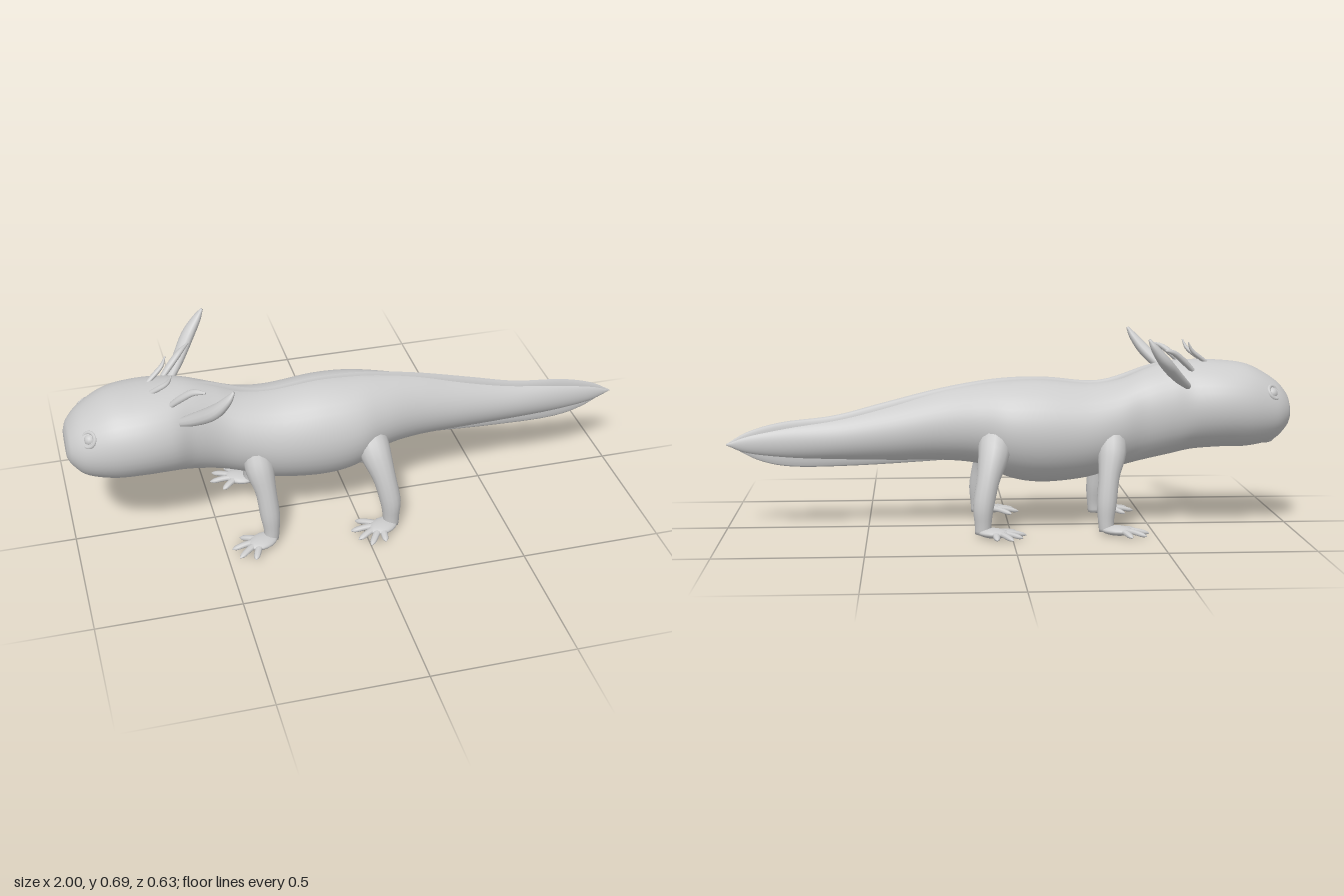
import * as THREE from 'three';

const material = new THREE.MeshStandardMaterial({ color: 0xcccccc, roughness: 0.8, side: THREE.DoubleSide });
const V = (a) => new THREE.Vector3(...a);

function add(parent, name, geometry) {
  const mesh = new THREE.Mesh(geometry, material);
  mesh.name = name;
  parent.add(mesh);
  return mesh;
}

// Skin a grid of rings, each closed on itself, with capped ends
function skin(rings) {
  const n = rings[0].length, pos = [], idx = [];
  rings.forEach((r) => r.forEach((p) => pos.push(p.x, p.y, p.z)));
  for (let i = 0; i < rings.length - 1; i++) {
    for (let j = 0; j < n; j++) {
      const a = i * n + j, b = i * n + (j + 1) % n;
      idx.push(a, b, a + n, b, b + n, a + n);
    }
  }
  [0, rings.length - 1].forEach((i) => {
    const c = rings[i].reduce((s, p) => s.add(p), new THREE.Vector3()).divideScalar(n);
    const k = pos.length / 3;
    pos.push(c.x, c.y, c.z);
    for (let j = 0; j < n; j++) {
      const a = i * n + j, b = i * n + (j + 1) % n;
      if (i === 0) idx.push(k, b, a); else idx.push(k, a, b);
    }
  });
  const g = new THREE.BufferGeometry();
  g.setAttribute('position', new THREE.Float32BufferAttribute(pos, 3));
  g.setIndex(idx);
  g.computeVertexNormals();
  return g;
}

// Loft along x through stations [x, top, bottom, halfWidth, pinch]
function loft(stations, steps, sides) {
  const heights = new THREE.CatmullRomCurve3(stations.map((s) => V([s[0], s[1], s[2]])), false, 'catmullrom');
  const widths = new THREE.CatmullRomCurve3(stations.map((s) => V([s[0], s[3], s[4]])), false, 'catmullrom');
  const rings = [];
  for (let i = 0; i <= steps; i++) {
    const h = heights.getPoint(i / steps), w = widths.getPoint(i / steps), ring = [];
    for (let j = 0; j < sides; j++) {
      const a = (j / sides) * Math.PI * 2, s = Math.sin(a);
      ring.push(V([h.x, (h.y + h.z) / 2 + Math.cos(a) * (h.y - h.z) / 2,
        Math.sign(s) * Math.abs(s) ** w.z * Math.max(w.y, 0.001)]));
    }
    rings.push(ring);
  }
  return skin(rings);
}

// Tapered limb through points [x, y, z, radius]; flat squashes it vertically
function limb(points, steps = 16, sides = 14, flat = 1) {
  const path = new THREE.CatmullRomCurve3(points.map((p) => V(p.slice(0, 3))), false, 'catmullrom');
  const radii = new THREE.CatmullRomCurve3(points.map((p) => V([p[3], 0, 0])), false, 'catmullrom');
  const rings = [];
  for (let i = 0; i <= steps; i++) {
    const t = i / steps, c = path.getPoint(t), d = path.getTangent(t);
    const r = Math.max(radii.getPoint(t).x, 0.001);
    const ref = Math.abs(d.y) > 0.8 ? V([1, 0, 0]) : V([0, 1, 0]);
    // keep one reference per limb so that rings do not twist
    const up = points.ref ? V(points.ref) : ref;
    const u = new THREE.Vector3().crossVectors(up, d).normalize();
    const v = new THREE.Vector3().crossVectors(d, u);
    const ring = [];
    for (let j = 0; j < sides; j++) {
      const a = (j / sides) * Math.PI * 2;
      ring.push(c.clone().addScaledVector(u, Math.cos(a) * r).addScaledVector(v, Math.sin(a) * r * flat));
    }
    rings.push(ring);
  }
  return skin(rings);
}

const withRef = (points, ref) => Object.assign(points, { ref });

function addLeg(parent, name, side, path, toes) {
  const leg = new THREE.Group();
  leg.name = name;
  const m = (p) => [p[0], p[1], p[2] * side, p[3]];
  add(leg, 'limb', limb(withRef(path.map(m), [1, 0, 0])));
  const [ax, , az] = path[path.length - 1];
  const palm = add(leg, 'palm', new THREE.SphereGeometry(1, 18, 12));
  palm.scale.set(0.058, 0.017, 0.042);
  palm.position.set(ax - 0.035, 0.018, (az + 0.018) * side);
  palm.rotation.y = 0.5 * side;
  toes.forEach(([tx, tz]) => {
    const sx = ax - 0.04, sz = az + 0.015;
    add(leg, 'toe', limb(withRef([
      [sx, 0.02, sz * side, 0.015],
      [sx + (tx - sx) * 0.5, 0.018, (sz + (tz - sz) * 0.5) * side, 0.013],
      [sx + (tx - sx) * 0.85, 0.011, (sz + (tz - sz) * 0.85) * side, 0.011],
      [tx, 0.008, tz * side, 0.002],
    ], [0, 1, 0]), 10, 8, 0.7));
  });
  parent.add(leg);
}

export function createModel() {
  const model = new THREE.Group();
  model.name = 'salamander';

  // Head, trunk and tail in one smooth skin
  add(model, 'body', loft([
    [-1.0, 0.45, 0.37, 0.06, 0.9],
    [-0.985, 0.485, 0.345, 0.095, 0.9],
    [-0.94, 0.53, 0.305, 0.135, 0.9],
    [-0.85, 0.578, 0.285, 0.172, 0.9],
    [-0.75, 0.592, 0.283, 0.185, 0.9],
    [-0.65, 0.595, 0.275, 0.174, 0.95],
    [-0.57, 0.59, 0.256, 0.142, 1],
    [-0.48, 0.56, 0.236, 0.127, 1],
    [-0.39, 0.525, 0.213, 0.145, 1],
    [-0.28, 0.512, 0.176, 0.162, 1],
    [-0.12, 0.525, 0.16, 0.175, 1],
    [0.0, 0.522, 0.178, 0.168, 1],
    [0.1, 0.512, 0.225, 0.135, 1.1],
    [0.24, 0.485, 0.24, 0.094, 1.25],
    [0.42, 0.435, 0.24, 0.066, 1.4],
    [0.6, 0.39, 0.243, 0.045, 1.4],
    [0.78, 0.362, 0.25, 0.027, 1.3],
    [0.92, 0.333, 0.268, 0.014, 1.1],
    [0.995, 0.304, 0.296, 0.003, 1],
  ], 110, 36));

  // Thin fins along the spine and beneath the tail
  add(model, 'dorsalFin', loft([
    [-0.62, 0.594, 0.56, 0.002, 1.3],
    [-0.5, 0.578, 0.5, 0.007, 1.3],
    [-0.32, 0.523, 0.46, 0.008, 1.3],
    [-0.12, 0.536, 0.46, 0.008, 1.3],
    [0.05, 0.53, 0.44, 0.01, 1.3],
    [0.24, 0.498, 0.4, 0.012, 1.3],
    [0.44, 0.448, 0.36, 0.012, 1.3],
    [0.62, 0.402, 0.33, 0.01, 1.3],
    [0.8, 0.38, 0.31, 0.008, 1.3],
    [0.92, 0.347, 0.3, 0.006, 1.3],
    [1.0, 0.302, 0.298, 0.002, 1.3],
  ], 60, 12));
  add(model, 'ventralFin', loft([
    [0.16, 0.28, 0.245, 0.002, 1.3],
    [0.32, 0.29, 0.234, 0.009, 1.3],
    [0.55, 0.3, 0.222, 0.01, 1.3],
    [0.76, 0.3, 0.22, 0.008, 1.3],
    [0.88, 0.3, 0.242, 0.006, 1.3],
    [0.98, 0.3, 0.292, 0.002, 1.3],
  ], 40, 12));

  // Lower lip
  const lip = add(model, 'lowerLip', new THREE.SphereGeometry(1, 20, 12));
  lip.scale.set(0.04, 0.022, 0.07);
  lip.position.set(-0.915, 0.316, 0);

  for (const side of [1, -1]) {
    const label = side > 0 ? 'front' : 'back';

    // Eye with a raised lid around it
    const eye = new THREE.Group();
    eye.name = label + 'SideEye';
    add(eye, 'eyeball', new THREE.SphereGeometry(0.021, 16, 12)).position.z = -0.008;
    add(eye, 'eyelid', new THREE.TorusGeometry(0.025, 0.007, 8, 20));
    eye.position.set(-0.926, 0.486, 0.112 * side);
    eye.lookAt(-1.35, 0.82, 0.52 * side);
    model.add(eye);

    // Three feathery gill stalks, the large one spread wider on the far side
    const wide = side > 0 ? 0 : 0.04;
    const gills = {
      largeGill: [[-0.63, 0.505, 0.115, 0.014], [-0.575, 0.55, 0.175 + wide / 2, 0.025],
        [-0.52, 0.605, 0.235 + wide, 0.029], [-0.48, 0.655, 0.26 + wide, 0.02], [-0.457, 0.69, 0.265 + wide, 0.006]],
      middleGill: [[-0.65, 0.555, 0.088, 0.011], [-0.61, 0.595, 0.11, 0.015],
        [-0.57, 0.628, 0.135, 0.013], [-0.535, 0.64, 0.168, 0.004]],
      smallGill: [[-0.71, 0.58, 0.03, 0.008], [-0.675, 0.605, 0.045, 0.011],
        [-0.645, 0.63, 0.058, 0.009], [-0.63, 0.66, 0.066, 0.003]],
    };
    for (const [name, pts] of Object.entries(gills)) {
      add(model, name, limb(withRef(pts.map(([x, y, z, r]) => [x, y, z * side, r]), [1, -1, 0]), 18, 12, 0.75));
    }

    // Legs with splayed toes: four in front, five behind
    addLeg(model, label + 'SideForeleg', side, [
      [-0.36, 0.34, 0.095, 0.05], [-0.355, 0.275, 0.13, 0.05], [-0.342, 0.2, 0.16, 0.037],
      [-0.333, 0.11, 0.175, 0.035], [-0.33, 0.05, 0.182, 0.028], [-0.332, 0.012, 0.184, 0.026],
    ], [[-0.44, 0.15], [-0.478, 0.21], [-0.462, 0.265], [-0.41, 0.288]]);
    addLeg(model, label + 'SideHindLeg', side, [
      [0.05, 0.33, 0.09, 0.06], [0.06, 0.275, 0.14, 0.055], [0.08, 0.2, 0.182, 0.041],
      [0.098, 0.11, 0.203, 0.037], [0.1, 0.05, 0.207, 0.03], [0.1, 0.012, 0.207, 0.028],
    ], [[-0.02, 0.16], [-0.05, 0.215], [-0.035, 0.27], [0.0, 0.312], [0.055, 0.305]]);
  }
  return model;
}
